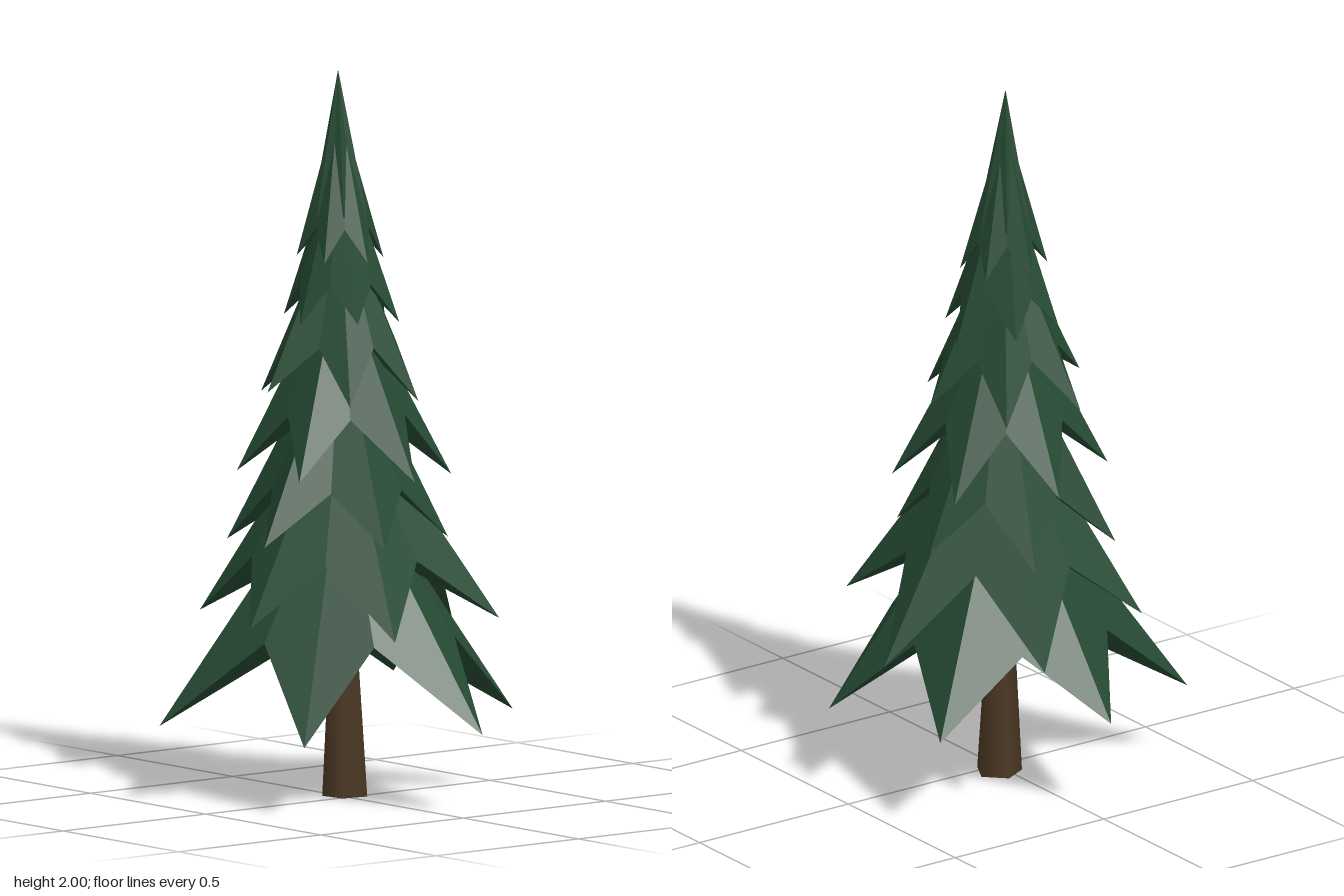
import * as THREE from 'three';

const foliage = new THREE.MeshStandardMaterial({ color: 0x264a33 });
foliage.name = 'pine green';
foliage.flatShading = true;
const bark = new THREE.MeshStandardMaterial({ color: 0x4a3722 });
bark.name = 'bark brown';

const RAD = Math.PI / 180;

// The tree leans slightly: centre of the trunk at height y
const axis = (y) => [-0.035 - 0.0125 * y, -0.02 + 0.003 * y];

// Six-pointed star cone: ridges run to drooping tips, with a hollow underside
function tierGeometry({ phase, radii, tipY, valley, valleyY, top }) {
  const y0 = tipY.reduce((a, b) => a + b) / tipY.length;
  const [cx, cz] = axis(y0);
  const [ax, az] = axis(top);
  const apex = [ax, top, az];
  const under = [cx, valleyY + 0.05, cz];
  const ring = [];
  radii.forEach((r, i) => {
    const a = (phase + i * 60) * RAD, b = a + 30 * RAD;
    ring.push([cx + r * Math.cos(a), tipY[i], cz + r * Math.sin(a)]);
    ring.push([cx + valley * Math.cos(b), valleyY, cz + valley * Math.sin(b)]);
  });
  const pos = [];
  ring.forEach((p, i) => {
    const q = ring[(i + 1) % ring.length];
    pos.push(...apex, ...q, ...p, ...under, ...p, ...q);
  });
  const g = new THREE.BufferGeometry();
  g.setAttribute('position', new THREE.Float32BufferAttribute(pos, 3));
  g.computeVertexNormals();
  return g;
}

// Tiers from the ground up
const tiers = [
  { phase: -6, radii: [0.533, 0.426, 0.524, 0.459, 0.514, 0.475],
    tipY: [0.22, 0.19, 0.21, 0.27, 0.27, 0.22], valley: 0.31, valleyY: 0.45, top: 0.95 },
  { phase: 20, radii: [0.43, 0.39, 0.40, 0.45, 0.454, 0.433],
    tipY: [0.48, 0.5, 0.5, 0.455, 0.43, 0.5], valley: 0.265, valleyY: 0.67, top: 1.14 },
  { phase: 18, radii: [0.32, 0.34, 0.32, 0.31, 0.29, 0.29],
    tipY: [0.72, 0.72, 0.7, 0.69, 0.72, 0.72], valley: 0.205, valleyY: 0.86, top: 1.32 },
  { phase: 2, radii: [0.33, 0.3, 0.29, 0.285, 0.29, 0.3],
    tipY: [0.9, 0.9, 0.9, 0.89, 0.88, 0.88], valley: 0.185, valleyY: 1.06, top: 1.47 },
  { phase: 33, radii: [0.235, 0.25, 0.24, 0.25, 0.235, 0.23],
    tipY: [1.1, 1.13, 1.1, 1.1, 1.12, 1.1], valley: 0.15, valleyY: 1.25, top: 1.63 },
  { phase: 23, radii: [0.17, 0.16, 0.16, 0.165, 0.175, 0.165],
    tipY: [1.32, 1.31, 1.32, 1.32, 1.29, 1.31], valley: 0.115, valleyY: 1.42, top: 1.8 },
  { phase: 0, radii: [0.12, 0.12, 0.12, 0.128, 0.12, 0.12],
    tipY: [1.48, 1.48, 1.49, 1.5, 1.48, 1.48], valley: 0.085, valleyY: 1.57, top: 1.92 },
  { phase: 30, radii: [0.08, 0.08, 0.08, 0.08, 0.08, 0.08],
    tipY: [1.6, 1.6, 1.6, 1.6, 1.6, 1.6], valley: 0.055, valleyY: 1.66, top: 2 },
];

export function createModel() {
  const tree = new THREE.Group();
  tree.name = 'pineTree';

  // Five-sided tapering trunk that follows the lean
  const H = 0.9;
  const trunkGeo = new THREE.CylinderGeometry(0.012, 0.065, H, 5, 1);
  trunkGeo.rotateY(45 * RAD).translate(0, H / 2, 0);
  const p = trunkGeo.attributes.position;
  for (let i = 0; i < p.count; i++) {
    const [x, z] = axis(p.getY(i));
    p.setXYZ(i, p.getX(i) + x, p.getY(i), p.getZ(i) + z);
  }
  const trunk = new THREE.Mesh(trunkGeo, bark);
  trunk.name = 'trunk';
  tree.add(trunk);

  // Overlapping branch tiers
  tiers.forEach((t, i) => {
    const mesh = new THREE.Mesh(tierGeometry(t), foliage);
    mesh.name = `branchTier${i + 1}`;
    tree.add(mesh);
  });
  return tree;
}
